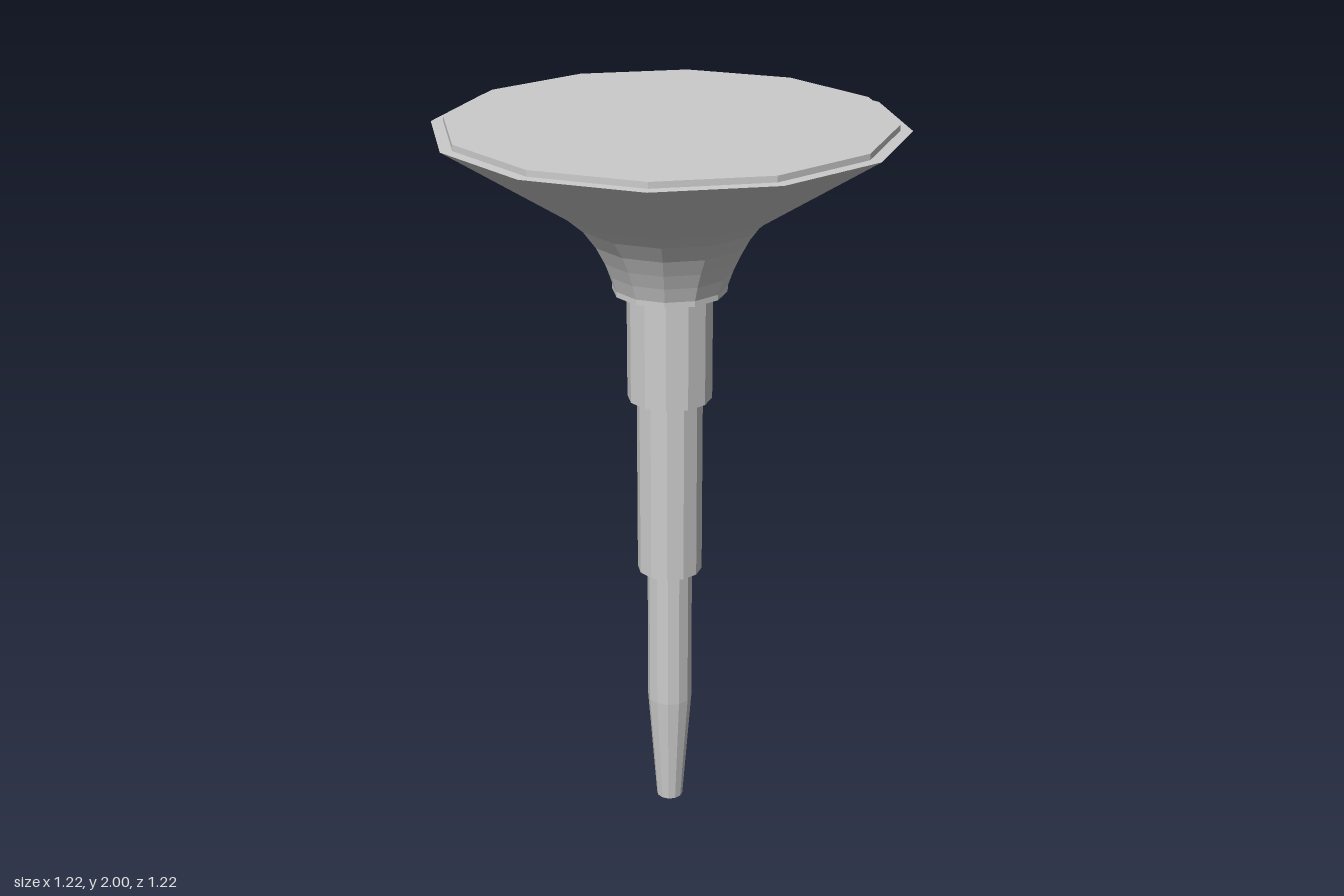
import * as THREE from 'three';

const SIDES = 12;

export function createModel() {
  const model = new THREE.Group();
  const material = new THREE.MeshStandardMaterial({ color: 0xcccccc, flatShading: true });

  // Turn a [radius, height] profile, listed bottom to top, around the y axis.
  function turned(name, profile) {
    const points = profile.map(([r, y]) => new THREE.Vector2(r, y));
    const mesh = new THREE.Mesh(new THREE.LatheGeometry(points, SIDES), material);
    mesh.name = name;
    model.add(mesh);
  }

  // Tapered foot and the three stepped stem sections
  turned('taperedTip', [[0, 0], [0.037, 0], [0.062, 0.33], [0.062, 0.74], [0, 0.74]]);
  turned('middleStem', [[0, 0.74], [0.089, 0.74], [0.089, 1.25], [0, 1.25]]);
  turned('upperStem', [[0, 1.25], [0.114, 1.25], [0.114, 1.55], [0, 1.55]]);

  // Flared bell with a short collar below and a thin ledge at the rim
  turned('flaredBell', [
    [0, 1.55], [0.152, 1.55], [0.152, 1.565], [0.166, 1.605], [0.184, 1.645],
    [0.208, 1.69], [0.243, 1.737], [0.285, 1.773], [0.612, 1.984], [0, 1.986],
  ]);

  // Raised flat disc on top
  turned('topDisc', [[0, 1.98], [0.58, 1.98], [0.58, 2], [0, 2]]);

  return model;
}
